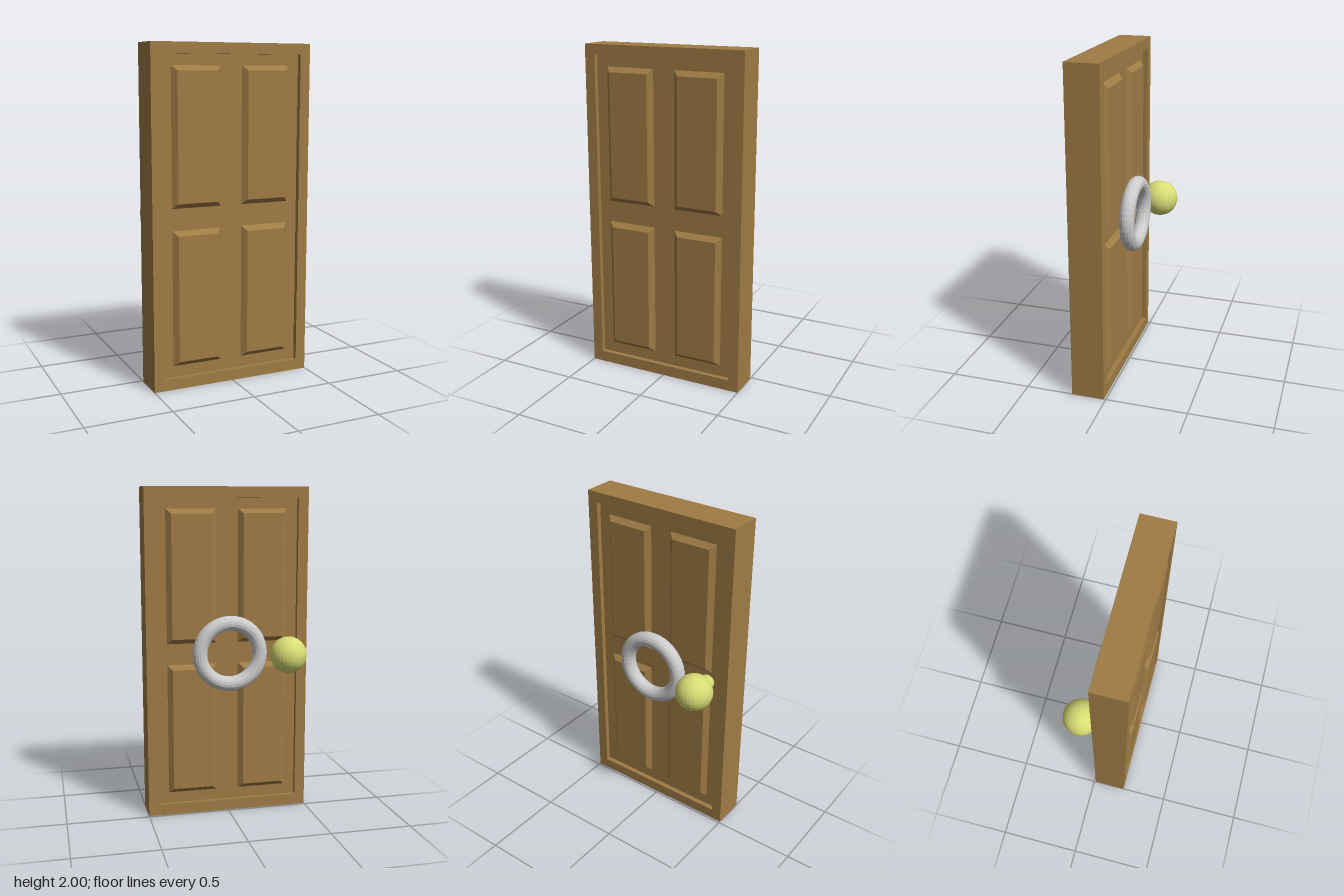
import * as THREE from 'three';

const wood = new THREE.MeshStandardMaterial({ color: 0xa07c45 });
const brass = new THREE.MeshStandardMaterial({ color: 0xd8dc74, flatShading: true });
const iron = new THREE.MeshStandardMaterial({ color: 0xbdbdbd, flatShading: true });

const BACK = 0.012, FRONT = 0.212, RECESS = 0.03, RAISE = 0.03, BEVEL = 0.03;
const MID = (BACK + FRONT) / 2;

function add(parent, name, geometry, material, x = 0, y = 0, z = 0) {
  const mesh = new THREE.Mesh(geometry, material);
  mesh.name = name;
  mesh.position.set(x, y, z);
  parent.add(mesh);
  return mesh;
}

// Closed rectangle path
function rect(path, x0, y0, x1, y1) {
  path.moveTo(x0, y0);
  path.lineTo(x1, y0);
  path.lineTo(x1, y1);
  path.lineTo(x0, y1);
  path.closePath();
  return path;
}

// Box whose +z face is drawn in by the bevel width
function raisedPanel(w, h, d) {
  const g = new THREE.BoxGeometry(w, h, d);
  const p = g.attributes.position;
  for (let i = 0; i < p.count; i++) {
    if (p.getZ(i) > 0) {
      p.setX(i, p.getX(i) - Math.sign(p.getX(i)) * BEVEL);
      p.setY(i, p.getY(i) - Math.sign(p.getY(i)) * BEVEL);
    }
  }
  g.computeVertexNormals();
  return g;
}

export function createModel() {
  const model = new THREE.Group();
  model.name = 'door';

  // Surrounding frame with an opening
  const outline = rect(new THREE.Shape(), -0.5, 0, 0.5, 2);
  outline.holes.push(rect(new THREE.Path(), -0.437, 0.067, 0.437, 1.937));
  const frame = new THREE.ExtrudeGeometry(outline, { depth: FRONT - BACK, bevelEnabled: false });
  add(model, 'frame', frame, wood, 0, 0, BACK);

  // Leaf set back from both faces of the frame
  const leafDepth = FRONT - BACK - 2 * RECESS;
  add(model, 'leaf', new THREE.BoxGeometry(0.874, 1.87, leafDepth), wood, 0, 1.002, MID);

  // Four bevelled panels on each face
  const panel = raisedPanel(0.305, 0.807, RAISE);
  for (const side of [1, -1]) {
    for (const x of [-0.219, 0.219]) {
      for (const y of [0.536, 1.47]) {
        const m = add(model, side > 0 ? 'frontPanel' : 'backPanel', panel, wood,
          x, y, MID + side * (leafDepth / 2 + RAISE / 2 - 0.001));
        if (side < 0) m.rotation.y = Math.PI;
      }
    }
  }

  // Round knob on a short neck
  const knob = new THREE.Group();
  knob.name = 'knob';
  knob.position.set(-0.348, 1, 0);
  model.add(knob);
  add(knob, 'knobBall', new THREE.SphereGeometry(0.111, 32, 24), brass, 0, 0, -0.102);
  const neck = add(knob, 'knobNeck', new THREE.CylinderGeometry(0.045, 0.045, 0.1, 24), brass, 0, 0, 0);
  neck.rotation.x = Math.PI / 2;

  // Knocker ring
  add(model, 'knockerRing', new THREE.TorusGeometry(0.185, 0.045, 16, 40), iron, 0, 1.01, -0.038);

  return model;
}
